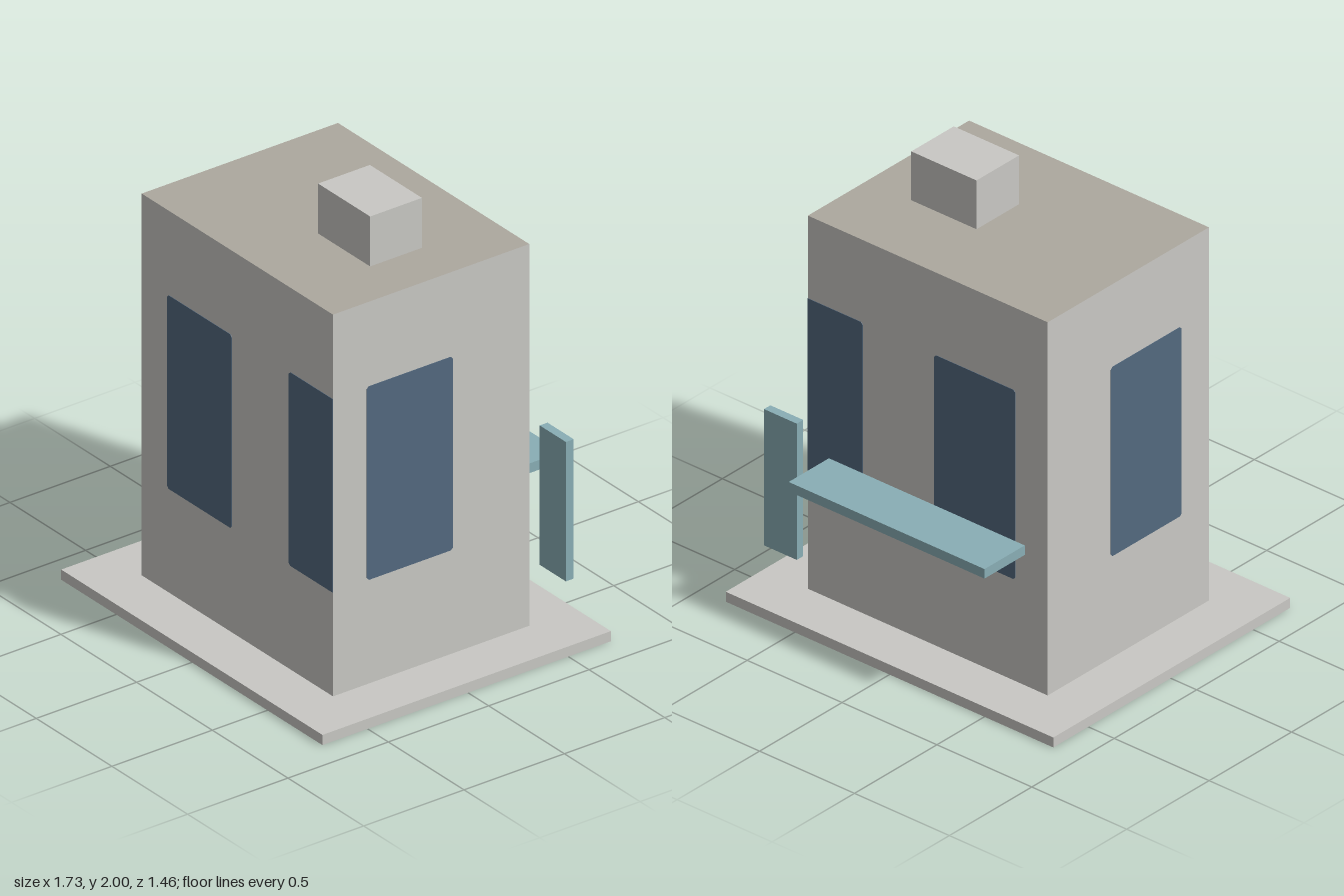
import * as THREE from 'three';

const flat = (name, color) => {
  const m = new THREE.MeshStandardMaterial({ color });
  m.name = name;
  return m;
};

export function createModel() {
  const model = new THREE.Group();
  model.name = 'towerBuilding';

  const concrete = flat('concrete', 0xc9c8c4);
  const roofing = flat('roofing', 0xada89f);
  const glass = flat('glass', 0x53697f);
  const teal = flat('teal', 0x89aeb5);

  // Box given by its extents on each axis
  const block = (name, [x0, x1], [y0, y1], [z0, z1], material) => {
    const mesh = new THREE.Mesh(new THREE.BoxGeometry(x1 - x0, y1 - y0, z1 - z0), material);
    mesh.position.set((x0 + x1) / 2, (y0 + y1) / 2, (z0 + z1) / 2);
    mesh.name = name;
    model.add(mesh);
  };

  const wallX = 0.632, front = 0.498, back = -0.48;

  block('pavement', [-0.863, 0.863], [0, 0.046], [-0.712, 0.725], concrete);
  // Walls with a differently coloured top face
  block('walls', [-wallX, wallX], [0.046, 1.774], [back, front],
    [concrete, concrete, roofing, concrete, concrete, concrete]);
  block('roofHousing', [0.056, 0.4], [1.774, 2], [-0.12, 0.138], concrete);
  block('awning', [-0.518, 0.514], [0.656, 0.7], [-0.732, -0.488], teal);
  block('hangingSign', [0.572, 0.745], [0.264, 0.895], [-0.616, -0.577], teal);

  // Window pane with tiny cut corners; a pane meeting a wall's edge stays square there
  const paneGeometry = (a, b, cutA, cutB) => {
    const y0 = 0.516, y1 = 1.392, c = 0.01;
    const ca = cutA ? c : 0, cb = cutB ? c : 0;
    const points = [
      [a + ca, y0], [b - cb, y0], [b, y0 + cb], [b, y1 - cb],
      [b - cb, y1], [a + ca, y1], [a, y1 - ca], [a, y0 + ca],
    ].map(([x, y]) => new THREE.Vector2(x, y));
    return new THREE.ExtrudeGeometry(new THREE.Shape(points), { depth: 0.002, bevelEnabled: false });
  };
  const pane = (name, turn, distance, a, b, cutA = true, cutB = true) => {
    const mesh = new THREE.Mesh(paneGeometry(a, b, cutA, cutB), glass);
    mesh.rotation.y = turn;
    mesh.position.set(Math.sin(turn) * distance, 0, Math.cos(turn) * distance);
    mesh.name = name;
    model.add(mesh);
  };

  // Front and back panes line up in x, side panes line up in z
  pane('frontWindow', 0, front, -0.462, -0.035);
  pane('frontCornerWindow', 0, front, 0.342, wallX, true, false);
  pane('backWindow', Math.PI, -back, 0.035, 0.462);
  pane('backCornerWindow', Math.PI, -back, -wallX, -0.342, false, true);
  pane('leftWindow', Math.PI / 2, wallX, -0.33, 0.098);
  pane('rightWindow', -Math.PI / 2, wallX, -0.098, 0.33);

  return model;
}
